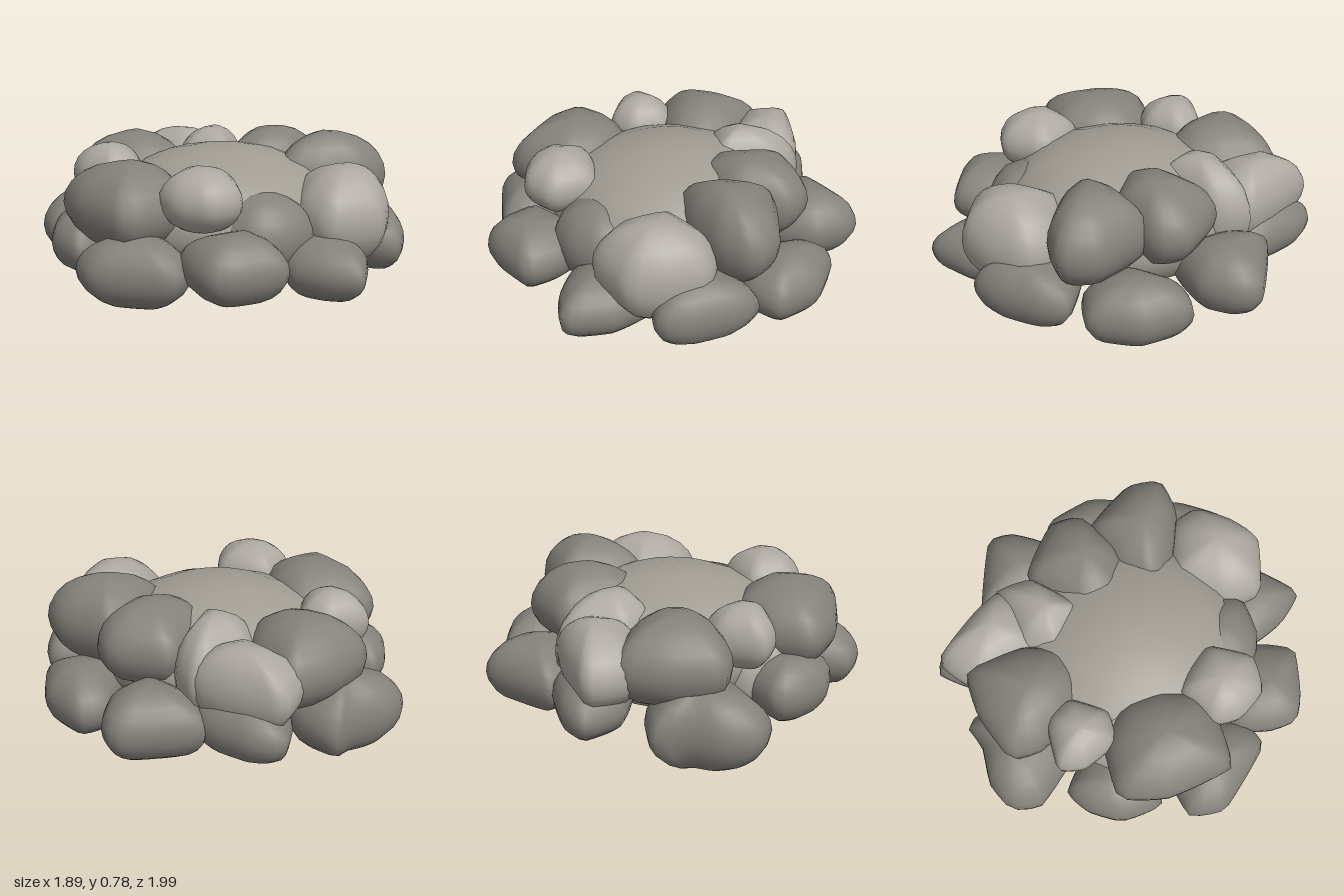
import * as THREE from 'three';
import { mergeVertices } from 'three/addons/utils/BufferGeometryUtils.js';

const material = (name, color) => {
  const m = new THREE.MeshStandardMaterial({ color });
  m.name = name;
  return m;
};

// A boulder: a sphere whose rings follow a plan outline [x, z, x, z, ...]
// between the heights y0 and y1.
function boulder(name, mat, y0, y1, plan) {
  let pts = [];
  for (let i = 0; i < plan.length; i += 2) pts.push(new THREE.Vector2(plan[i], plan[i + 1]));
  if (THREE.ShapeUtils.area(pts) > 0) pts = pts.reverse();
  const centre = new THREE.Vector3();
  const ring = pts.map((p) => new THREE.Vector3(p.x, 0, p.y));
  ring.forEach((p) => centre.addScaledVector(p, 1 / ring.length));
  const curve = new THREE.CatmullRomCurve3(ring, true, 'catmullrom', 0.2);

  const across = 28, down = 12;
  let geo = new THREE.SphereGeometry(1, across, down);
  const pos = geo.attributes.position;
  const outline = curve.getSpacedPoints(across);
  for (let j = 0; j <= down; j++) {
    const t = (j / down) * Math.PI;
    const spread = j % down === 0 ? 0 : Math.sin(t);
    const y = (y0 + y1) / 2 + ((y1 - y0) / 2) * Math.cos(t);
    for (let i = 0; i <= across; i++) {
      const p = outline[i % across];
      pos.setXYZ(j * (across + 1) + i,
        centre.x + (p.x - centre.x) * spread, y, centre.z + (p.z - centre.z) * spread);
    }
  }
  // weld the seam so the stone shades smoothly all round
  geo.deleteAttribute('uv');
  geo.deleteAttribute('normal');
  geo = mergeVertices(geo, 1e-4);
  geo.computeVertexNormals();
  const mesh = new THREE.Mesh(geo, mat);
  mesh.name = name;
  return mesh;
}

export function createModel() {
  const dark = material('dark stone', 0x85827b);
  const light = material('light stone', 0xada8a0);
  const mid = material('warm stone', 0xa29d93);
  const group = new THREE.Group();
  group.name = 'rockPile';
  const add = (...args) => group.add(boulder(...args));

  // central dome
  const dome = [];
  for (let i = 0; i < 12; i++) {
    const a = (i / 12) * Math.PI * 2;
    dome.push(0.62 * Math.cos(a), 0.62 * Math.sin(a));
  }
  add('centralDome', mid, 0.05, 0.73, dome);

  // lower ring
  add('lowerBackRight', dark, 0.02, 0.44,
    [-0.67, -0.78, -0.52, -0.86, -0.31, -0.86, -0.18, -0.91, -0.08, -0.7, -0.15, -0.42, -0.45, -0.38, -0.69, -0.62]);
  add('lowerBack', dark, 0.14, 0.45,
    [0.12, -1, 0.26, -0.92, 0.4, -0.69, 0.4, -0.45, 0.05, -0.45, -0.02, -0.8]);
  add('lowerBackLeft', dark, 0.1, 0.47,
    [0.39, -0.71, 0.8, -0.59, 0.82, -0.45, 0.72, -0.28, 0.45, -0.2, 0.33, -0.5]);
  add('lowerLeft', dark, 0.06, 0.41,
    [0.69, -0.23, 0.86, -0.24, 0.945, 0.02, 0.86, 0.27, 0.65, 0.27, 0.5, 0.05]);
  add('lowerFrontLeft', dark, 0.11, 0.45,
    [0.8, 0.34, 0.79, 0.48, 0.66, 0.69, 0.54, 0.79, 0.45, 0.74, 0.33, 0.5, 0.5, 0.25]);
  add('lowerFront', dark, 0.08, 0.4,
    [-0.1, 0.69, -0.02, 0.87, 0.12, 1, 0.3, 0.82, 0.36, 0.6, 0.2, 0.48, 0, 0.5]);
  add('lowerFrontRight', dark, 0.14, 0.48,
    [-0.61, 0.63, -0.59, 0.77, -0.47, 0.83, -0.22, 0.87, -0.14, 0.69, -0.15, 0.45, -0.55, 0.42]);
  add('lowerRight', dark, 0.08, 0.44,
    [-0.93, 0.1, -0.945, 0.29, -0.67, 0.57, -0.52, 0.5, -0.47, 0.25, -0.7, 0.05]);
  add('lowerRightBack', dark, 0.12, 0.45,
    [-0.88, -0.24, -0.79, -0.4, -0.67, -0.48, -0.5, -0.35, -0.45, -0.1, -0.84, -0.02]);

  // stone tucked under the right side
  add('supportStone', light, 0, 0.62,
    [-0.7, -0.22, -0.5, -0.4, -0.2, -0.28, -0.14, 0.1, -0.38, 0.24, -0.66, 0.14]);

  // upper ring
  add('upperBackRight', dark, 0.28, 0.735,
    [-0.48, -0.72, -0.23, -0.83, 0.02, -0.84, 0.07, -0.53, 0, -0.32, -0.18, -0.26, -0.35, -0.36, -0.48, -0.56]);
  add('upperBack', light, 0.27, 0.69,
    [0.11, -0.97, 0.32, -0.74, 0.41, -0.58, 0.31, -0.44, 0.04, -0.44, -0.08, -0.8]);
  add('upperBackInner', light, 0.2, 0.745,
    [0.4, -0.62, 0.43, -0.42, 0.28, -0.25, 0.16, -0.14, 0.04, -0.25, -0.04, -0.37, 0.06, -0.55]);
  add('upperLeftBack', dark, 0.33, 0.76,
    [0.43, -0.43, 0.69, -0.25, 0.7, -0.08, 0.5, 0.06, 0.4, 0.09, 0.16, 0.01, 0.13, -0.18]);
  add('upperLeft', dark, 0.31, 0.78,
    [0.6, -0.07, 0.81, 0.2, 0.8, 0.39, 0.61, 0.43, 0.37, 0.35, 0.2, 0.21, 0.33, 0.05]);
  add('upperFrontLeft', light, 0.19, 0.695,
    [0.23, 0.29, 0.56, 0.36, 0.64, 0.53, 0.53, 0.71, 0.38, 0.83, 0.1, 0.76, 0.07, 0.55]);
  add('upperFront', dark, 0.16, 0.595,
    [-0.36, 0.42, -0.26, 0.24, 0.1, 0.24, 0.18, 0.45, 0.1, 0.66, -0.1, 0.69, -0.26, 0.63]);
  add('upperFrontRight', light, 0.43, 0.75,
    [-0.39, 0.18, -0.28, 0.25, -0.18, 0.38, -0.29, 0.59, -0.47, 0.59, -0.58, 0.45, -0.58, 0.3]);
  add('upperRight', dark, 0.29, 0.735,
    [-0.81, -0.24, -0.55, -0.25, -0.36, -0.14, -0.32, 0.08, -0.42, 0.31, -0.6, 0.35, -0.8, 0.34, -0.87, 0]);
  add('upperRightBack', light, 0.41, 0.74,
    [-0.61, -0.5, -0.37, -0.5, -0.28, -0.37, -0.39, -0.19, -0.55, -0.19, -0.64, -0.37]);

  return group;
}
